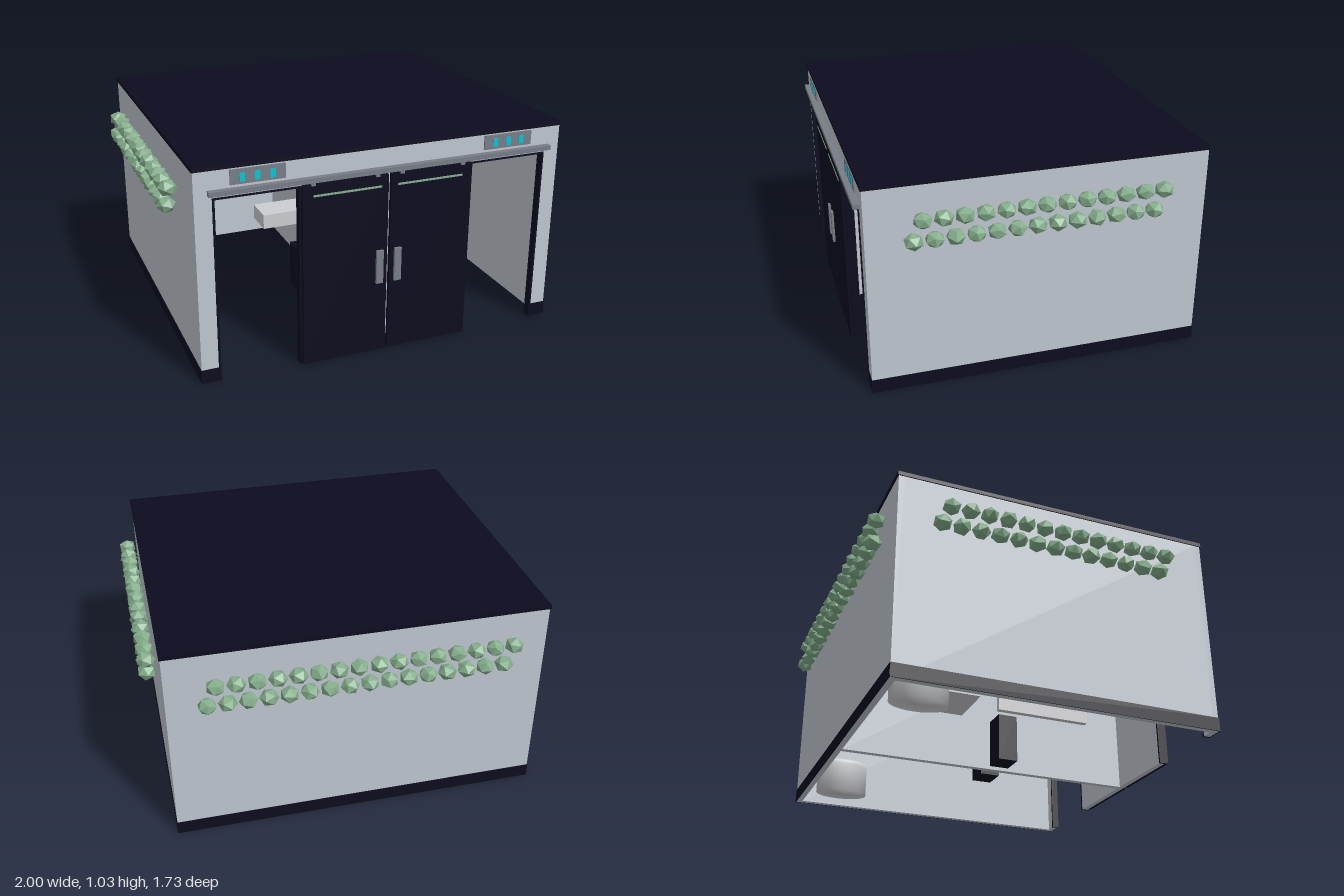
import * as THREE from 'three';

const mat = (name, color, extra = {}) => {
  const m = new THREE.MeshStandardMaterial({ color, ...extra });
  m.name = name;
  return m;
};

export function createModel() {
  const root = new THREE.Group();
  root.name = 'restroomPavilion';
  const wall = mat('wallGrey', 0xc0c7d0);
  const navy = mat('navy', 0x0c0c1f);
  const metal = mat('metalGrey', 0x787d86);
  const porcelain = mat('porcelain', 0xcccdd0);
  const green = mat('leafGreen', 0x84ad8b, { flatShading: true });
  const cyan = mat('cyanLight', 0x00c8d8);

  const add = (name, geo, material, x, y, z, parent = root) => {
    const m = new THREE.Mesh(geo, material);
    m.name = name;
    m.position.set(x, y, z);
    parent.add(m);
    return m;
  };
  // Box given by its minimum and maximum on each axis
  const box = (name, material, x0, x1, y0, y1, z0, z1, parent = root) =>
    add(name, new THREE.BoxGeometry(Math.abs(x1 - x0), y1 - y0, z1 - z0), material,
      (x0 + x1) / 2, (y0 + y1) / 2, (z0 + z1) / 2, parent);

  // Shell: roof, back wall and the partition between the two stalls
  box('roof', navy, -0.905, 0.905, 1.01, 1.03, -0.775, 0.835);
  box('backWall', wall, -0.9, 0.9, 0, 1.01, -0.77, -0.74);
  box('partition', wall, -0.015, 0.015, 0, 1.01, -0.74, 0.8);
  box('backSkirting', navy, -0.902, 0.902, 0, 0.067, -0.773, -0.769);

  // Front wall with two door openings
  const outline = [[-0.9, 0], [-0.82, 0], [-0.82, 0.885], [-0.42, 0.885], [-0.42, 0], [0.42, 0],
    [0.42, 0.885], [0.82, 0.885], [0.82, 0], [0.9, 0], [0.9, 1.01], [-0.9, 1.01]];
  const frontShape = new THREE.Shape(outline.map(([x, y]) => new THREE.Vector2(x, y)));
  add('frontWall', new THREE.ExtrudeGeometry(frontShape, { depth: 0.03, bevelEnabled: false }),
    wall, 0, 0, 0.8);
  box('frontCentreSkirting', navy, -0.42, 0.42, 0, 0.067, 0.829, 0.833);

  // Sliding door rail
  box('doorRail', metal, -0.84, 0.84, 0.9, 0.922, 0.83, 0.86);

  for (const s of [1, -1]) {
    const side = s > 0 ? 'left' : 'right';
    const b = (part, material, x0, x1, ...rest) =>
      box(side + part, material, s * x0, s * x1, ...rest);

    // Side wall and skirting
    b('SideWall', wall, 0.87, 0.9, 0, 1.01, -0.74, 0.8);
    b('SideSkirting', navy, 0.899, 0.903, 0, 0.067, -0.772, 0.833);
    b('FrontSkirting', navy, 0.82, 0.902, 0, 0.067, 0.829, 0.833);

    // Door frame
    b('OuterJamb', navy, 0.81, 0.82, 0, 0.885, 0.798, 0.836);
    b('InnerJamb', navy, 0.42, 0.43, 0, 0.885, 0.798, 0.836);
    b('Lintel', navy, 0.43, 0.81, 0.877, 0.885, 0.798, 0.836);

    // Sliding door, open towards the centre
    b('Door', navy, 0.006, 0.42, 0.005, 0.89, 0.836, 0.853);
    b('DoorStripe', green, 0.04, 0.37, 0.832, 0.842, 0.852, 0.855);
    b('DoorHandle', metal, 0.028, 0.063, 0.36, 0.525, 0.853, 0.865);
    for (const x of [0.06, 0.37]) b('DoorHanger', metal, x - 0.01, x + 0.01, 0.885, 0.905, 0.836, 0.856);

    // Status display with three lights
    b('Display', metal, 0.49, 0.74, 0.935, 1.003, 0.829, 0.837);
    for (const x of [0.548, 0.617, 0.685]) b('DisplayLight', cyan, x - 0.012, x + 0.012, 0.946, 0.987, 0.836, 0.839);

    // Toilet: oval bowl, seat and cistern
    const toilet = new THREE.Group();
    toilet.name = side + 'Toilet';
    toilet.position.set(s * 0.67, 0, -0.57);
    root.add(toilet);
    const profile = [[0, 0], [0.081, 0], [0.081, 0.155], [0.078, 0.17], [0.07, 0.182], [0, 0.184]]
      .map(([r, y]) => new THREE.Vector2(r, y));
    add('bowl', new THREE.LatheGeometry(profile, 28), porcelain, 0, 0, 0, toilet).scale.z = 1.7;
    box('cistern', metal, -0.085, 0.085, 0.19, 0.425, -0.17, -0.09, toilet);
    box('flushButton', green, -0.017, 0.017, 0.378, 0.39, -0.091, -0.086, toilet);

    // Grab bar on the back wall
    const bar = add(side + 'GrabBar', new THREE.CylinderGeometry(0.01, 0.01, 0.3, 12), metal, s * 0.395, 0.365, -0.7);
    bar.rotation.z = Math.PI / 2;
    for (const x of [0.27, 0.52]) b('GrabBarMount', metal, x - 0.008, x + 0.008, 0.357, 0.373, -0.74, -0.7);

    // Basin, changing table and bin along the partition
    b('Basin', porcelain, 0.015, 0.28, 0.275, 0.355, -0.29, -0.12);
    b('ChangingTable', porcelain, 0.015, 0.045, 0.33, 0.62, 0.08, 0.6);
    b('ChangingTableStripe', green, 0.044, 0.048, 0.55, 0.565, 0.28, 0.51);
    b('Bin', navy, 0.06, 0.18, 0, 0.24, 0.02, 0.12);
  }

  // Two staggered rows of shrubs on each closed side
  const shrub = new THREE.IcosahedronGeometry(0.046, 0);
  let seed = 7;
  const rand = () => (seed = (seed * 16807) % 2147483647) / 2147483647;
  const row = (name, count, mid, y, place) => {
    const group = new THREE.Group();
    group.name = name;
    root.add(group);
    for (let i = 0; i < count; i++) {
      const [x, z] = place(mid + (i - (count - 1) / 2) * 0.093);
      const holder = new THREE.Group();
      holder.name = 'shrub';
      holder.position.set(x, y, z);
      holder.scale.y = 0.86;
      group.add(holder);
      add('foliage', shrub, green, 0, 0, 0, holder).rotation.set(rand() * 0.4, rand() * 6.28, rand() * 0.4);
    }
  };
  const rows = [['Upper', 0.865, 0], ['Lower', 0.77, 0.042]];
  for (const [level, y, shift] of rows) {
    row('left' + level + 'Shrubs', 13, 0.027 + shift, y, t => [0.953, t]);
    row('right' + level + 'Shrubs', 13, 0.027 - shift, y, t => [-0.953, t]);
    row('back' + level + 'Shrubs', 16, -0.021 + shift, y, t => [t, -0.818]);
  }
  return root;
}
